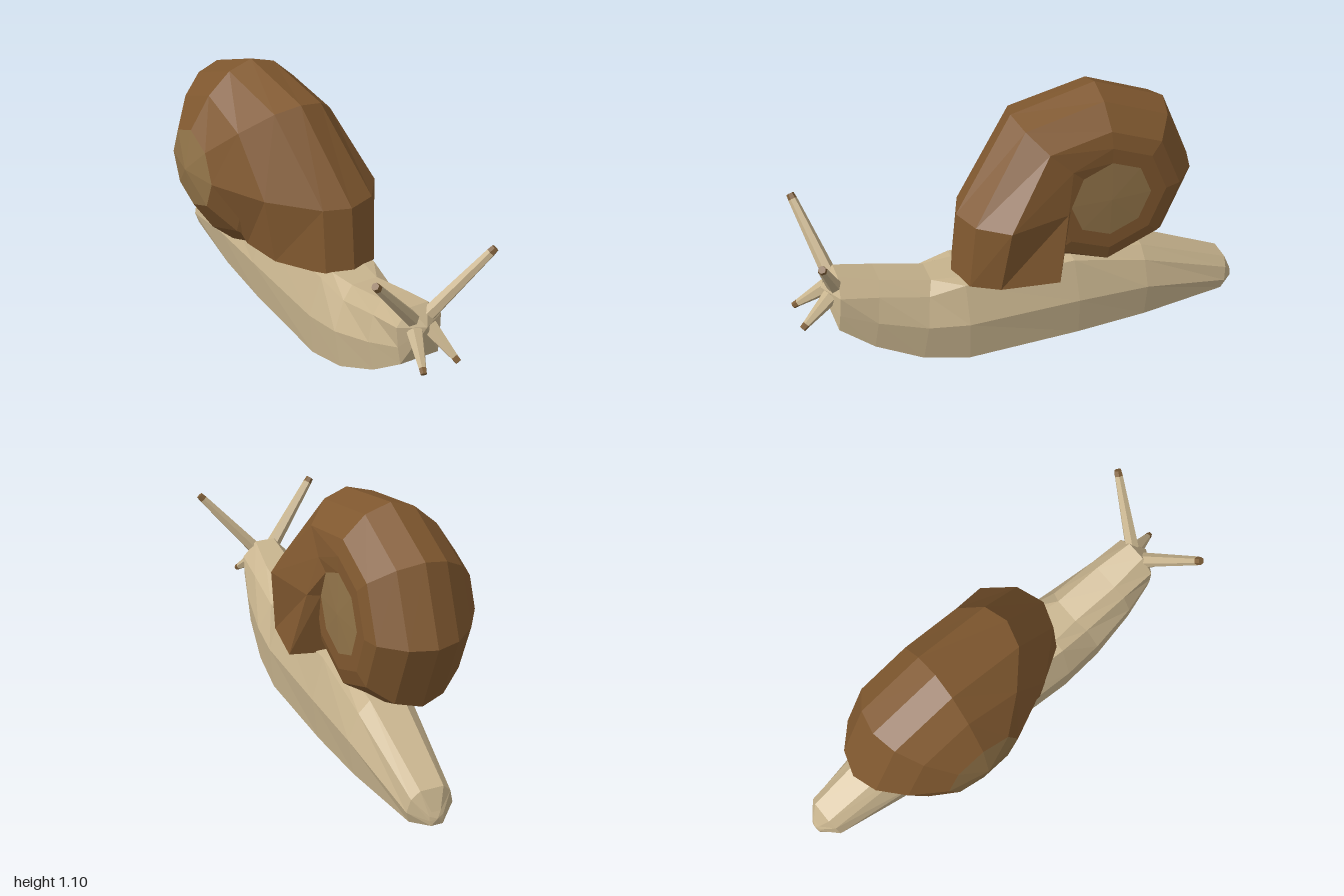
import * as THREE from 'three';

const mat = (name, color, extra = {}) => {
  const m = new THREE.MeshStandardMaterial({ color, flatShading: true, ...extra });
  m.name = name;
  return m;
};

// Collects triangles with unshared corners, so every face stays flat.
function faceBuilder() {
  const pos = [];
  const tri = (a, b, c) => [a, b, c].forEach((p) => pos.push(p.x, p.y, p.z));
  return {
    tri,
    loft(rings, closed) {
      for (let i = 0; i < rings.length - 1; i++) {
        const n = rings[i].length;
        for (let j = 0; j < (closed ? n : n - 1); j++) {
          const k = (j + 1) % n;
          const a = rings[i][j], b = rings[i][k], c = rings[i + 1][k], d = rings[i + 1][j];
          tri(a, b, c);
          tri(a, c, d);
        }
      }
    },
    fan(center, ring, flip) {
      ring.forEach((p, i) => {
        const q = ring[(i + 1) % ring.length];
        if (flip) tri(center, q, p); else tri(center, p, q);
      });
    },
    mesh(name, material) {
      const g = new THREE.BufferGeometry();
      g.setAttribute('position', new THREE.Float32BufferAttribute(pos, 3));
      g.computeVertexNormals();
      const m = new THREE.Mesh(g, material);
      m.name = name;
      return m;
    },
  };
}

const V = (x, y, z) => new THREE.Vector3(x, y, z);
const BODY_X = 0.07;
const SHELL_Y = 0.65, SHELL_Z = -0.345;

function makeBody(material) {
  // zBottom, zTop, then [half width, height] for sole, flank, shoulder, back
  const sections = [
    [-0.995, -0.985, [0.025, 0.01], [0.03, 0.03], [0.03, 0.05], [0.02, 0.065]],
    [-0.92, -0.945, [0.085, 0], [0.1, 0.05], [0.085, 0.11], [0.05, 0.145]],
    [-0.52, -0.52, [0.14, 0], [0.165, 0.165], [0.12, 0.28], [0.07, 0.33]],
    [-0.2, -0.18, [0.16, 0], [0.185, 0.19], [0.13, 0.37], [0.07, 0.38]],
    [0.3, 0.3, [0.168, 0], [0.185, 0.19], [0.13, 0.36], [0.075, 0.37]],
    [0.5, 0.43, [0.155, 0.045], [0.17, 0.21], [0.115, 0.33], [0.06, 0.375]],
    [0.7, 0.65, [0.125, 0.14], [0.14, 0.27], [0.11, 0.38], [0.06, 0.43]],
    [0.84, 0.82, [0.09, 0.24], [0.1, 0.32], [0.105, 0.41], [0.045, 0.48]],
  ];
  const rings = sections.map(([zb, zt, ...levels]) => {
    const side = (s) => levels.map(([w, y], i) => V(BODY_X + s * w, y, zb + ((zt - zb) * i) / 3));
    return [...side(1), ...side(-1).reverse()];
  });
  const f = faceBuilder();
  f.loft(rings, true);
  f.fan(V(BODY_X, 0.04, -1), rings[0], true);
  f.fan(V(BODY_X, 0.41, 0.885), rings[rings.length - 1], false);
  return f.mesh('body', material);
}

function makeShell(material, hubMaterial) {
  const at = (deg, x, r) => {
    const t = THREE.MathUtils.degToRad(deg);
    return V(x, SHELL_Y + r * Math.sin(t), SHELL_Z + r * Math.cos(t));
  };
  // Whorl profiles as [x, radius], from the right hub rim to the left one
  const whorl = [[-0.32, 0.18], [-0.23, 0.32], [-0.13, 0.41], [-0.025, 0.445],
    [0.085, 0.41], [0.18, 0.32], [0.2, 0.25], [0.2, 0.18]];
  const widening = [[-0.32, 0.18], [-0.225, 0.35], [-0.11, 0.495], [0, 0.532],
    [0.11, 0.495], [0.2, 0.39], [0.21, 0.25], [0.2, 0.18]];
  const wide = [[-0.32, 0.18], [-0.2, 0.42], [-0.03, 0.605], [0.085, 0.645],
    [0.21, 0.6], [0.303, 0.475], [0.25, 0.21], [0.2, 0.18]];
  // Mouth outline as [x, z], resting on the back
  const mouth = [[-0.19, -0.1], [-0.16, 0.09], [-0.03, 0.29], [0.085, 0.33],
    [0.21, 0.285], [0.275, 0.17], [0.31, -0.08], [0.12, -0.13]].map(([x, z]) => V(x, 0.36, z));

  const rings = [mouth];
  for (let deg = 0; deg <= 360; deg += 45) {
    const profile = deg === 0 ? wide : deg === 45 ? widening : whorl;
    rings.push(profile.map(([x, r]) => at(deg, x, r)));
  }
  const f = faceBuilder();
  f.loft(rings, false);
  f.fan(V(0.06, 0.36, 0.08), mouth, true);

  const group = new THREE.Group();
  group.name = 'shell';
  group.add(f.mesh('shellWhorl', material));

  // Pale hubs on both sides of the spiral
  for (const [name, rimX, tipX] of [['leftHub', 0.2, 0.207], ['rightHub', -0.32, -0.355]]) {
    const rim = [];
    for (let i = 0; i < 8; i++) rim.push(at(i * 45, rimX, 0.18));
    const hub = faceBuilder();
    hub.fan(V(tipX, SHELL_Y, SHELL_Z), rim, rimX > 0);
    group.add(hub.mesh(name, hubMaterial));
  }
  return group;
}

// Tapered stalk with a dark end
function makeStalk(name, from, to, r0, r1, material, tipMaterial) {
  const group = new THREE.Group();
  group.name = name;
  const dir = to.clone().sub(from);
  const len = dir.length();
  const tipLen = 0.025;
  const shaft = new THREE.Mesh(new THREE.CylinderGeometry(r1, r0, len - tipLen, 6), material);
  shaft.name = 'stalk';
  shaft.position.y = (len - tipLen) / 2;
  const tip = new THREE.Mesh(new THREE.CylinderGeometry(r1 * 0.85, r1, tipLen, 6), tipMaterial);
  tip.name = 'stalkTip';
  tip.position.y = len - tipLen / 2;
  group.add(shaft, tip);
  group.position.copy(from);
  group.quaternion.setFromUnitVectors(V(0, 1, 0), dir.normalize());
  return group;
}

export function createModel() {
  const skin = mat('skin', 0xc8b48e);
  const shellBrown = mat('shellBrown', 0x80582f, { side: THREE.DoubleSide });
  const hubBrown = mat('hubBrown', 0x927449);
  const tipBrown = mat('tipBrown', 0x80603a);

  const model = new THREE.Group();
  model.name = 'snail';
  model.add(makeBody(skin), makeShell(shellBrown, hubBrown));

  // Eye stalks and feelers, mirrored about the body
  for (const [s, label] of [[1, 'left'], [-1, 'right']]) {
    model.add(
      makeStalk(label + 'EyeStalk', V(BODY_X + s * 0.04, 0.435, 0.835),
        V(BODY_X + s * 0.275, 0.71, 0.925), 0.032, 0.019, skin, tipBrown),
      makeStalk(label + 'Feeler', V(BODY_X + s * 0.035, 0.385, 0.85),
        V(BODY_X + s * 0.082, 0.282, 0.99), 0.036, 0.016, skin, tipBrown),
    );
  }
  return model;
}
